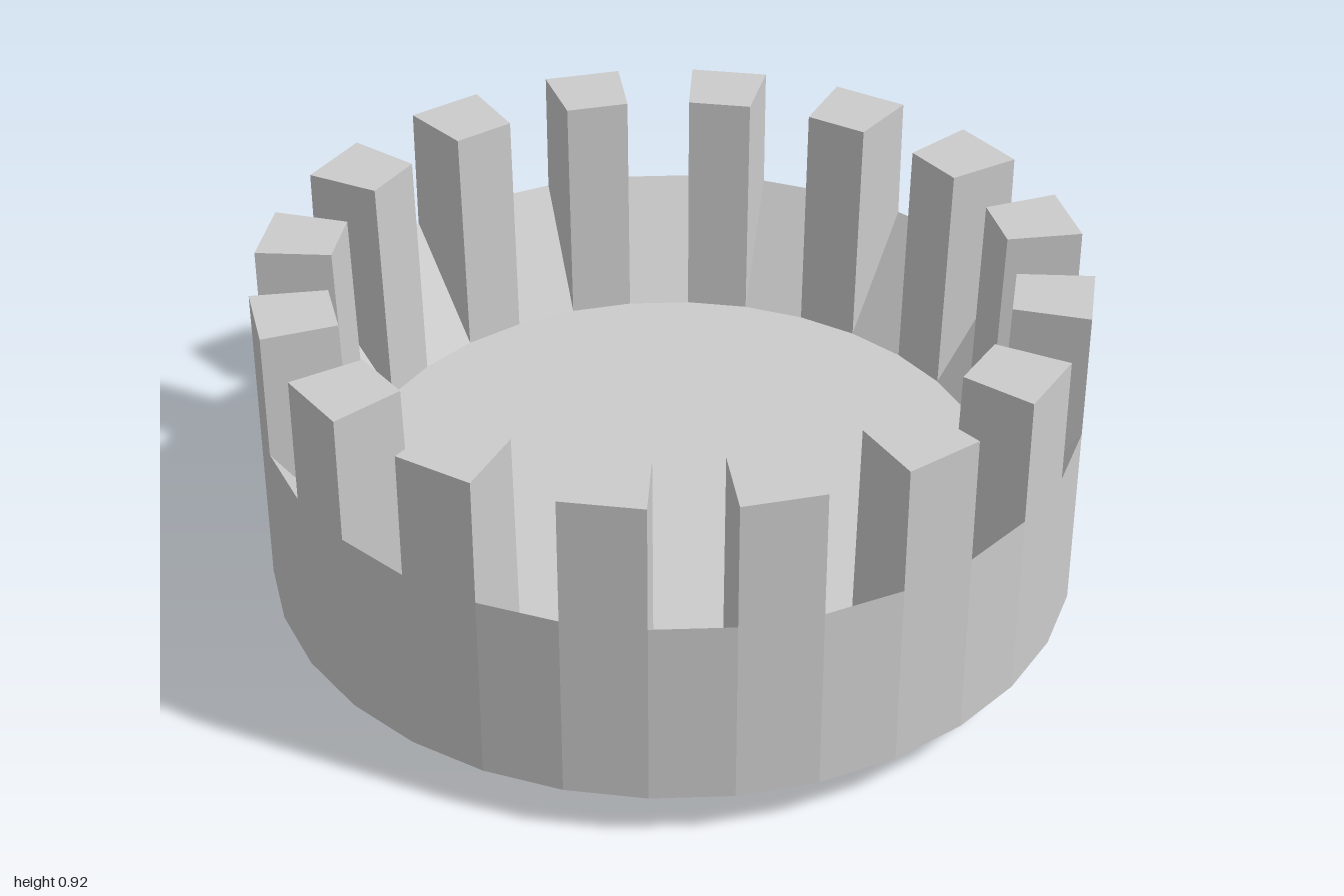
import * as THREE from 'three';

const SIDES = 32;
const STEP = (Math.PI * 2) / SIDES;

// Wedge standing on the sloped rim, filling one side of the ring
function merlonGeometry(index) {
  const geo = new THREE.BoxGeometry(1, 1, 1);
  const p = geo.attributes.position;
  for (let i = 0; i < p.count; i++) {
    const angle = (index + 0.5 + p.getX(i)) * STEP;
    const top = p.getY(i) > 0;
    const outer = p.getZ(i) > 0;
    const radius = outer ? 1 : top ? 0.815 : 0.8;
    const y = top ? 0.92 : outer ? 0.6 : 0.32;
    p.setXYZ(i, Math.sin(angle) * radius, y, Math.cos(angle) * radius);
  }
  geo.computeVertexNormals();
  return geo;
}

export function createModel() {
  const group = new THREE.Group();
  const material = new THREE.MeshStandardMaterial({ color: 0xcccccc, flatShading: true });

  // Bowl: bevelled underside, straight wall, rim sloping in to a flat floor
  const profile = [
    [0, 0], [0.6, 0.005], [0.8, 0.03], [1, 0.12], [1, 0.6], [0.8, 0.32], [0, 0.32],
  ].map(([r, y]) => new THREE.Vector2(r, y));
  const base = new THREE.Mesh(new THREE.LatheGeometry(profile, SIDES), material);
  base.name = 'base';
  group.add(base);

  // Battlements on every other side
  const battlements = new THREE.Group();
  battlements.name = 'battlements';
  for (let i = 0; i < SIDES; i += 2) {
    const merlon = new THREE.Mesh(merlonGeometry(i), material);
    merlon.name = 'merlon';
    battlements.add(merlon);
  }
  group.add(battlements);
  return group;
}
